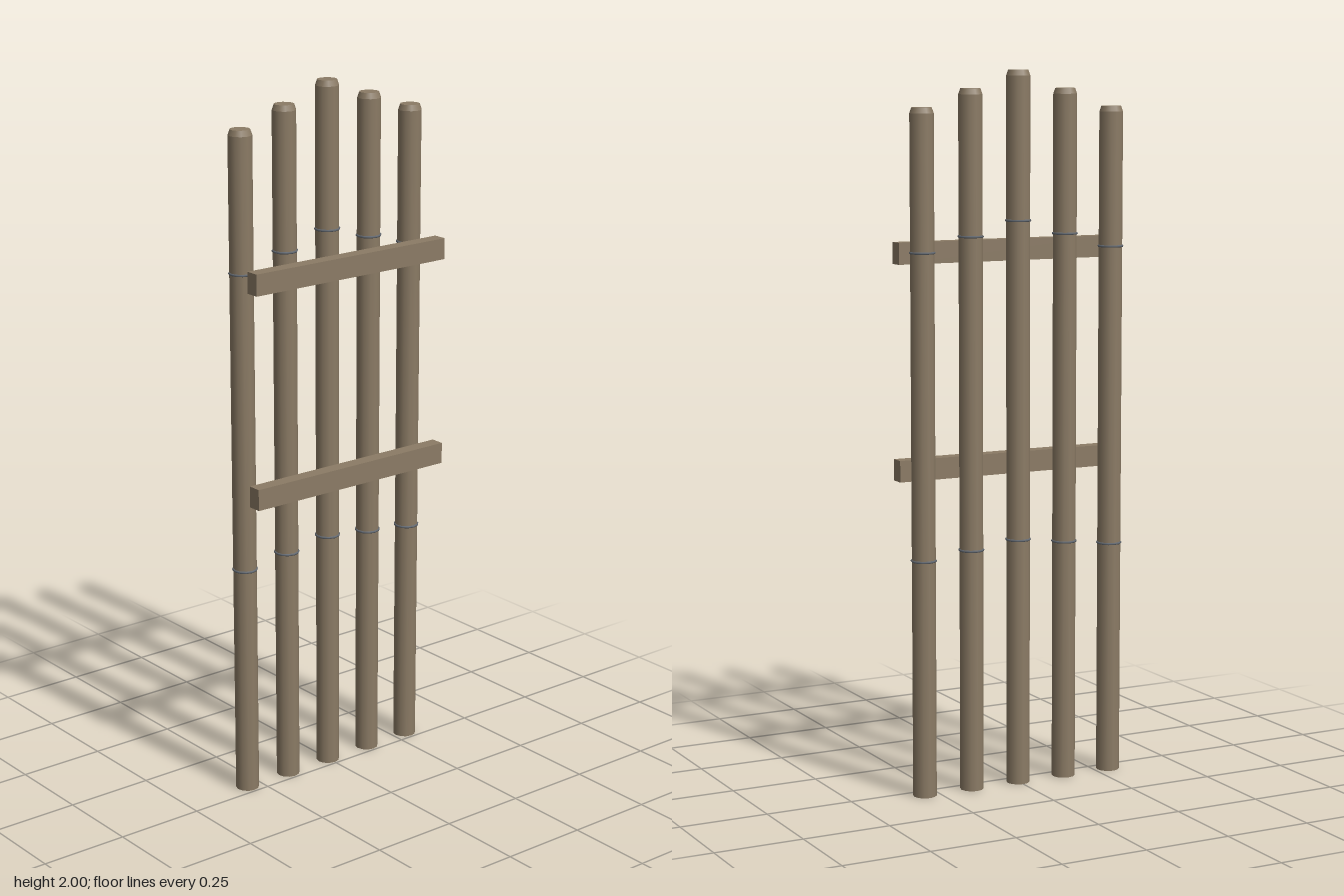
import * as THREE from 'three';

export function createModel() {
  const model = new THREE.Group();
  model.name = 'poleFence';
  const wood = new THREE.MeshStandardMaterial({ color: 0x8b7b65 });
  wood.name = 'weatheredWood';
  const wire = new THREE.MeshStandardMaterial({ color: 0x646a72 });
  wire.name = 'wireGrey';

  const add = (parent, name, geometry, material, x, y, z) => {
    const mesh = new THREE.Mesh(geometry, material);
    mesh.name = name;
    mesh.position.set(x, y, z);
    parent.add(mesh);
    return mesh;
  };

  const radius = 0.033, tip = 0.016, poleX = -0.039;
  const tipGeometry = new THREE.CylinderGeometry(0.0275, radius, tip, 12);
  const ringGeometry = new THREE.TorusGeometry(radius, 0.0035, 6, 12).rotateX(Math.PI / 2);

  // Five upright poles, tallest in the middle
  for (let i = -2; i <= 2; i++) {
    const height = 2 - 0.05 * Math.abs(i);
    const pole = new THREE.Group();
    pole.name = 'pole';
    pole.position.set(poleX, 0, i * 0.1465);
    const shaft = height - tip;
    add(pole, 'poleShaft', new THREE.CylinderGeometry(radius, radius, shaft, 12), wood, 0, shaft / 2, 0);
    add(pole, 'poleTip', tipGeometry, wood, 0, height - tip / 2, 0);
    // Thin bindings at fixed fractions of the pole
    for (const f of [0.35, 0.795]) add(pole, 'binding', ringGeometry, wire, 0, height * f, 0);
    model.add(pole);
  }

  // Two horizontal rails standing just off the poles
  const railGeometry = new THREE.BoxGeometry(0.04, 0.06, 0.656);
  for (const y of [0.904, 1.504]) add(model, 'rail', railGeometry, wood, 0.0545, y, 0);

  return model;
}
